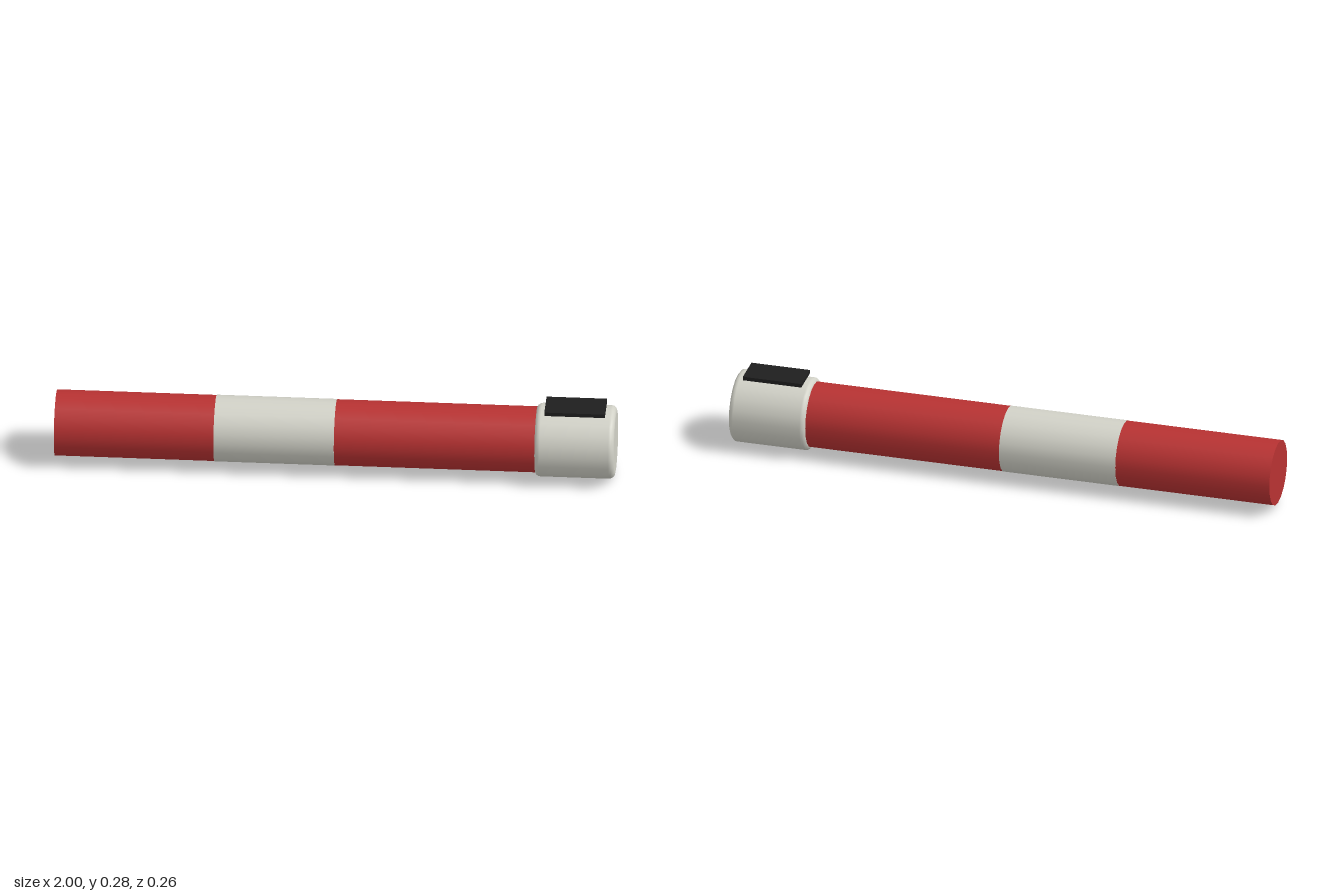
import * as THREE from 'three';

const SIDES = 20;
const AXIS_Y = 0.132;

export function createModel() {
  const group = new THREE.Group();
  const red = new THREE.MeshStandardMaterial({ color: 0xb83232 });
  red.name = 'red';
  const white = new THREE.MeshStandardMaterial({ color: 0xd2d2c8 });
  white.name = 'offWhite';
  const black = new THREE.MeshStandardMaterial({ color: 0x1e1e1e });
  black.name = 'black';

  // Adds a part whose own y axis lies along x
  const addAlongX = (name, geometry, material, x) => {
    const mesh = new THREE.Mesh(geometry, material);
    mesh.name = name;
    mesh.rotation.z = -Math.PI / 2;
    mesh.position.set(x, AXIS_Y, 0);
    group.add(mesh);
  };

  // Striped tube: red, white, red
  const tube = (name, x0, x1, radius, material) => addAlongX(
    name, new THREE.CylinderGeometry(radius, radius, x1 - x0, SIDES), material, (x0 + x1) / 2);
  tube('endTube', -1, -0.43, 0.1185, red);
  tube('whiteBand', -0.43, 0, 0.1195, white);
  tube('mainTube', 0, 0.73, 0.1185, red);

  // Cap with rounded rims
  const half = 0.1425, radius = 0.132, bevel = 0.02;
  const profile = [new THREE.Vector2(0, -half), new THREE.Vector2(radius - bevel - 0.002, -half)];
  for (const side of [-1, 1]) {
    for (let i = 0; i <= 4; i++) {
      const a = (side < 0 ? i - 4 : i) * Math.PI / 8;
      profile.push(new THREE.Vector2(
        radius - bevel + bevel * Math.cos(a),
        side * (half - bevel) + bevel * Math.sin(a)));
    }
  }
  profile.push(new THREE.Vector2(radius - bevel - 0.002, half), new THREE.Vector2(0, half));
  addAlongX('cap', new THREE.LatheGeometry(profile, SIDES), white, 0.8575);

  // Flat plate on top of the cap
  const plate = new THREE.Mesh(new THREE.BoxGeometry(0.216, 0.014, 0.115), black);
  plate.name = 'topPlate';
  plate.position.set(0.856, 0.269, 0);
  group.add(plate);

  return group;
}
